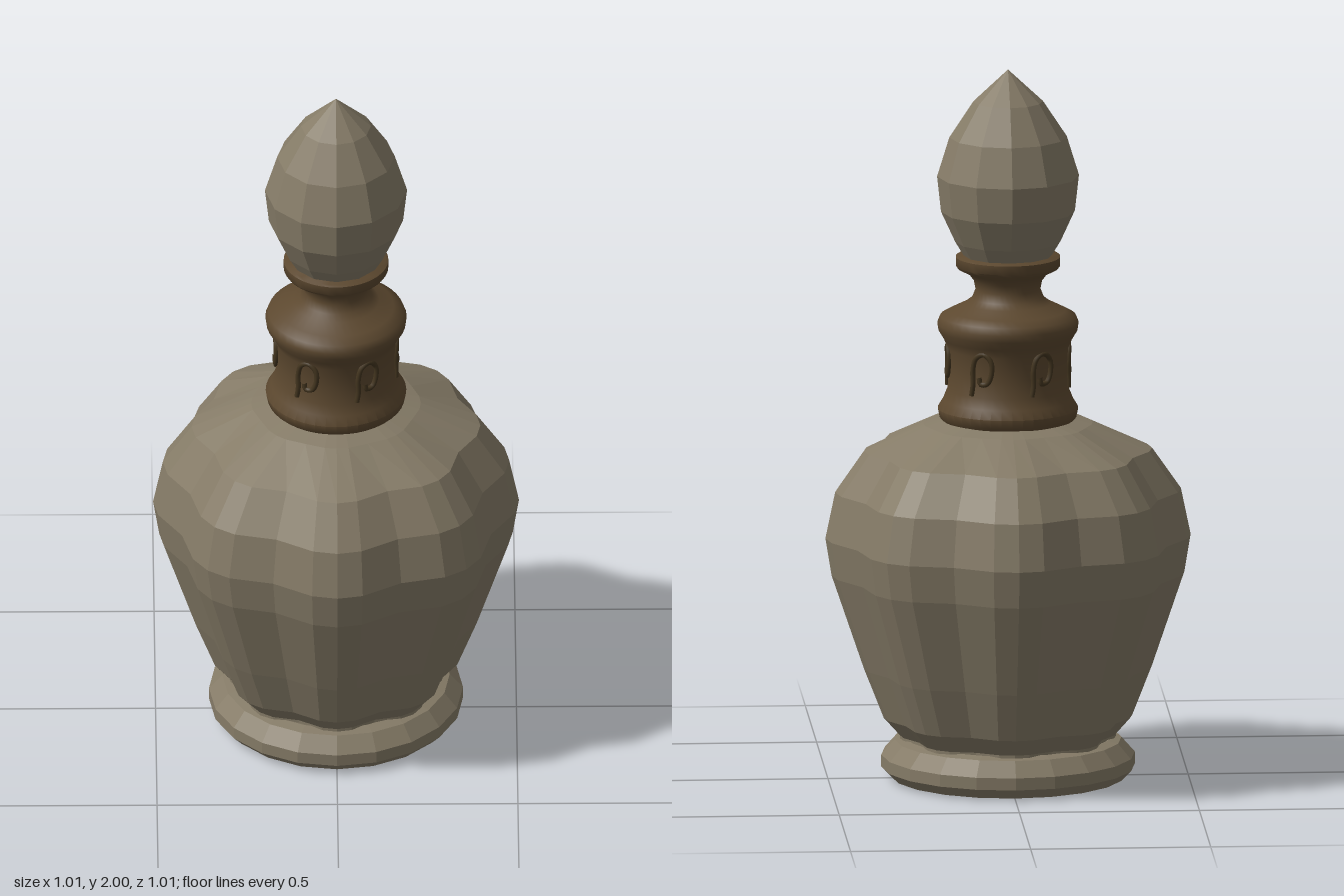
import * as THREE from 'three';
import { toCreasedNormals } from 'three/addons/utils/BufferGeometryUtils.js';

const glass = new THREE.MeshStandardMaterial({ color: 0x857b67 });
const bronze = new THREE.MeshStandardMaterial({ color: 0x5c482f });
const darkBronze = new THREE.MeshStandardMaterial({ color: 0x43351f });

// Turned shape from [radius, height] pairs, listed bottom to top
function turned(profile, sides) {
  return new THREE.LatheGeometry(profile.map(([r, y]) => new THREE.Vector2(r, y)), sides);
}

// Separate faces so each facet is shaded flat
function faceted(geometry) {
  const flat = geometry.toNonIndexed();
  flat.computeVertexNormals();
  return flat;
}

function addMesh(parent, name, geometry, material) {
  const mesh = new THREE.Mesh(geometry, material);
  mesh.name = name;
  parent.add(mesh);
  return mesh;
}

// Push a 32-sided turned shape into eight rounded lobes
function makeLobes(geometry) {
  const warp = [0, 0.18, 0.5, 0.82];
  const scale = [1, 0.983, 0.914, 0.983];
  const pos = geometry.attributes.position;
  for (let i = 0; i < pos.count; i++) {
    const x = pos.getX(i), z = pos.getZ(i), y = pos.getY(i);
    const r = Math.hypot(x, z);
    const step = (Math.round(Math.atan2(x, z) / (Math.PI / 16)) + 32) % 32;
    const angle = (Math.floor(step / 4) + warp[step % 4]) * Math.PI / 4;
    // The lobes fade out beside the neck
    const s = y > 0.97 ? 1 - (1 - scale[step % 4]) * 0.4 : scale[step % 4];
    pos.setXYZ(i, r * s * Math.sin(angle), y, r * s * Math.cos(angle));
  }
  return geometry;
}

export function createModel() {
  const model = new THREE.Group();
  model.name = 'perfumeBottle';

  // Lobed glass body
  const bodyProfile = [
    [0, 0.008], [0.3, 0.008], [0.3, 0.12], [0.345, 0.17], [0.4, 0.31], [0.49, 0.575],
    [0.507, 0.68], [0.48, 0.81], [0.4, 0.925], [0.235, 1.0], [0.16, 1.02], [0, 1.02],
  ];
  addMesh(model, 'body', faceted(makeLobes(turned(bodyProfile, 32))), glass);

  // Foot ring
  const footProfile = [
    [0.27, 0.012], [0.3, 0], [0.325, 0.004], [0.352, 0.032], [0.352, 0.066],
    [0.315, 0.108], [0.285, 0.115], [0.26, 0.105],
  ];
  addMesh(model, 'footRing', faceted(turned(footProfile, 20)), glass);

  // Smooth metal collar with a flared rim
  const collarProfile = [
    [0, 1.005], [0.175, 1.005], [0.19, 1.02], [0.195, 1.045], [0.18, 1.07], [0.168, 1.1],
    [0.165, 1.15], [0.167, 1.215], [0.178, 1.24], [0.193, 1.265], [0.196, 1.285], [0.188, 1.305],
    [0.16, 1.32], [0.12, 1.34], [0.1, 1.355], [0.09, 1.38], [0.095, 1.405], [0.11, 1.425],
    [0.14, 1.44], [0.145, 1.447], [0.145, 1.472], [0.138, 1.476], [0, 1.476],
  ];
  addMesh(model, 'collar', toCreasedNormals(turned(collarProfile, 40), 0.75), bronze);

  // Curled hooks around the collar: [sideways, height], wrapped on its surface
  const hook = [
    [-0.031, 1.105], [-0.026, 1.135], [-0.026, 1.18], [-0.016, 1.212], [0.008, 1.224],
    [0.029, 1.205], [0.031, 1.17], [0.018, 1.142], [-0.002, 1.14], [-0.006, 1.158],
  ];
  const hookRadius = 0.168;
  const path = new THREE.CatmullRomCurve3(hook.map(([s, y]) => {
    const a = s / hookRadius;
    return new THREE.Vector3(hookRadius * Math.sin(a), y, hookRadius * Math.cos(a));
  }));
  const hookGeometry = new THREE.TubeGeometry(path, 40, 0.0075, 8);
  const hooks = new THREE.Group();
  hooks.name = 'collarHooks';
  for (let i = 0; i < 6; i++) {
    const mesh = addMesh(hooks, 'collarHook', hookGeometry, darkBronze);
    mesh.rotation.y = Math.PI / 6 + i * Math.PI / 3;
  }
  model.add(hooks);

  // Faceted drop-shaped stopper
  const stopperProfile = [
    [0, 1.465], [0.117, 1.465], [0.147, 1.515], [0.186, 1.6], [0.197, 1.7],
    [0.163, 1.81], [0.097, 1.91], [0, 2],
  ];
  addMesh(model, 'stopper', faceted(turned(stopperProfile, 12)), glass);

  return model;
}
